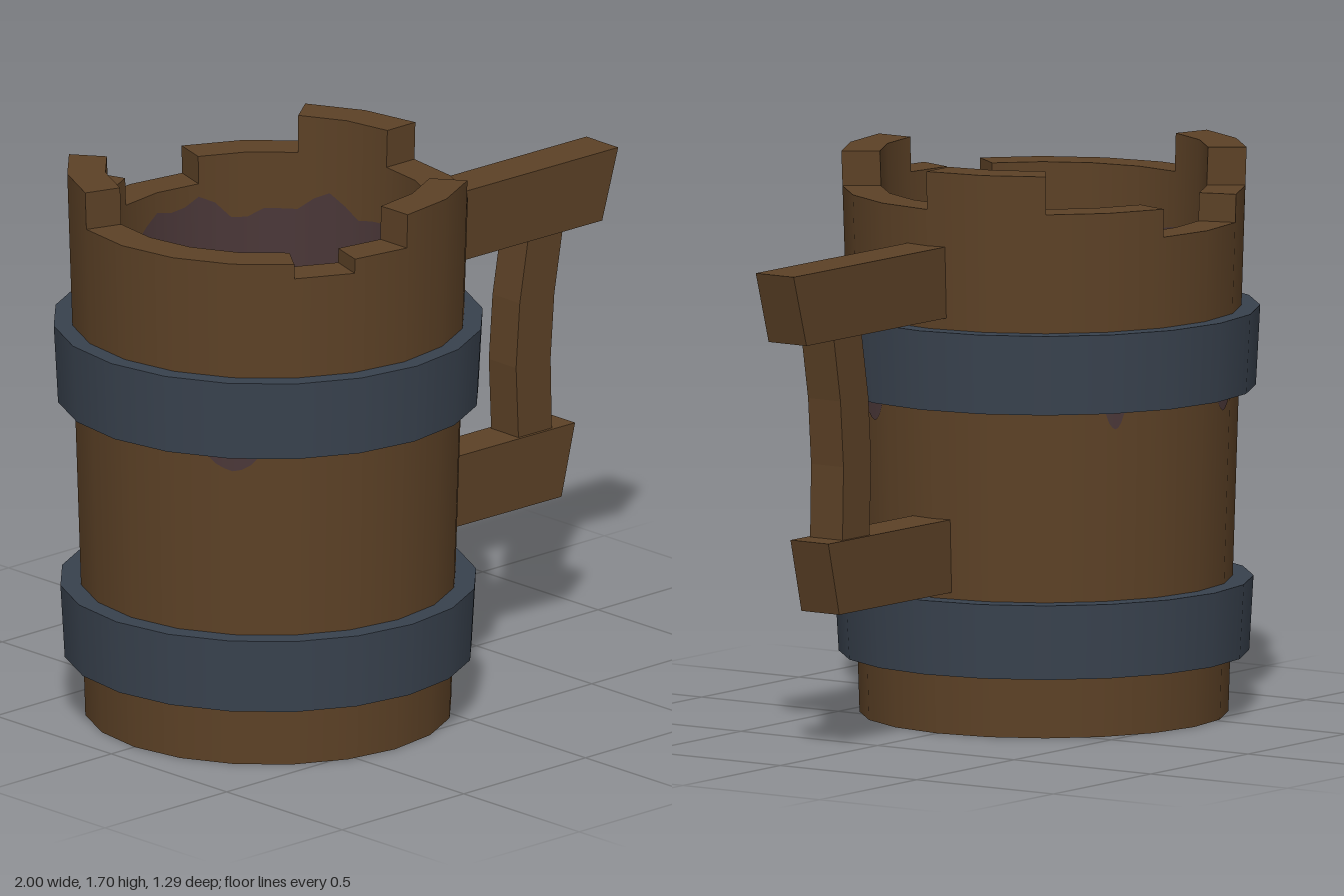
import * as THREE from 'three';

const SIDES = 20, STEP = 360 / SIDES, CENTRE_X = -0.355;
const outer = (y) => 0.55 + 0.032 * y;
const inner = (y) => 0.435 + 0.032 * y;

// Point on a 20-sided ring; angles run from the front (+z) towards +x
function ringPoint(deg, r, y) {
  const local = (((deg % STEP) + STEP) % STEP) - STEP / 2;
  const k = Math.cos(THREE.MathUtils.degToRad(STEP / 2)) / Math.cos(THREE.MathUtils.degToRad(local));
  const a = THREE.MathUtils.degToRad(deg);
  return new THREE.Vector3(Math.sin(a) * r * k, y, Math.cos(a) * r * k);
}

// Collects quads; smooth = 1 gives outward round normals, -1 inward, 0 flat
class Surface {
  constructor() { this.pos = []; this.nor = []; }
  quad(a, b, c, d, smooth = 0) {
    const flat = b.clone().sub(a).cross(c.clone().sub(a)).normalize();
    for (const p of [a, b, c, a, c, d]) {
      const n = smooth ? new THREE.Vector3(p.x, 0, p.z).normalize().multiplyScalar(smooth) : flat;
      this.pos.push(p.x, p.y, p.z);
      this.nor.push(n.x, n.y, n.z);
    }
  }
  mesh(name, material) {
    const g = new THREE.BufferGeometry();
    g.setAttribute('position', new THREE.Float32BufferAttribute(this.pos, 3));
    g.setAttribute('normal', new THREE.Float32BufferAttribute(this.nor, 3));
    const m = new THREE.Mesh(g, material);
    m.name = name;
    return m;
  }
}

function flatMaterial(name, color) {
  const m = new THREE.MeshStandardMaterial({ color });
  m.name = name;
  return m;
}

// Horizontal many-sided disc facing up or down
function disc(name, r, y, material, up) {
  const m = new THREE.Mesh(new THREE.CircleGeometry(r, SIDES), material);
  m.rotation.x = up ? -Math.PI / 2 : Math.PI / 2;
  m.position.y = y;
  m.name = name;
  return m;
}

export function createModel() {
  const wood = flatMaterial('wood', 0x5c4126);
  const metal = flatMaterial('metal', 0x38414d);
  const stain = flatMaterial('stain', 0x4a3738);
  const liquid = flatMaterial('liquid', 0x3a2552);

  const model = new THREE.Group();
  model.name = 'tankard';
  const body = new THREE.Group();
  body.name = 'body';
  body.position.x = CENTRE_X;
  model.add(body);

  // Stave heights: raised and broken sections around the rim
  const heights = new Array(SIDES).fill(1.585);
  for (const i of [0, 1]) heights[i] = 1.69;
  for (const i of [5, 6, 12, 13]) heights[i] = 1.7;
  for (const i of [9, 10]) heights[i] = 1.5;
  heights[18] = 1.54;

  const LIQUID_Y = 0.3, SUB = 3;
  const stainTop = (deg) => {
    const a = THREE.MathUtils.degToRad(deg);
    return 1.42 + 0.03 * Math.sin(7 * a) + 0.02 * Math.sin(16 * a + 1);
  };
  const staves = new Surface(), soak = new Surface();
  heights.forEach((h, i) => {
    const a0 = i * STEP, a1 = a0 + STEP, prev = heights[(i + SIDES - 1) % SIDES];
    const out = (a, y) => ringPoint(a, outer(y), y);
    const inn = (a, y) => ringPoint(a, inner(y), y);
    staves.quad(out(a0, 0), out(a1, 0), out(a1, h), out(a0, h), 1);
    staves.quad(out(a0, h), out(a1, h), inn(a1, h), inn(a0, h));
    if (h !== prev) staves.quad(inn(a0, prev), out(a0, prev), out(a0, h), inn(a0, h));
    // Inner wall: bare wood above, wet stain with an uneven edge below
    for (let j = 0; j < SUB; j++) {
      const b0 = a0 + (j * STEP) / SUB, b1 = b0 + STEP / SUB;
      const s0 = stainTop(b0), s1 = stainTop(b1);
      staves.quad(inn(b1, s1), inn(b0, s0), inn(b0, h), inn(b1, h), -1);
      soak.quad(inn(b1, LIQUID_Y), inn(b0, LIQUID_Y), inn(b0, s0), inn(b1, s1), -1);
    }
  });
  body.add(staves.mesh('staves', wood), soak.mesh('innerStain', stain));
  body.add(disc('base', outer(0), 0, wood, false));
  body.add(disc('liquidSurface', inner(LIQUID_Y), LIQUID_Y, liquid, true));

  // Metal hoops with a wooden ledge showing underneath
  const addHoop = (name, y0, y1, r0, r1) => {
    const hoop = new Surface(), ledge = new Surface();
    for (let i = 0; i < SIDES; i++) {
      const p = (k, r, y) => ringPoint((i + k) * STEP, r, y);
      const lip = r0 - 0.012;
      hoop.quad(p(0, r0, y0), p(1, r0, y0), p(1, r1, y1), p(0, r1, y1), 1);
      hoop.quad(p(0, r1, y1), p(1, r1, y1), p(1, outer(y1) - 0.01, y1), p(0, outer(y1) - 0.01, y1));
      hoop.quad(p(1, r0, y0), p(0, r0, y0), p(0, lip, y0), p(1, lip, y0));
      ledge.quad(p(1, lip, y0), p(0, lip, y0), p(0, outer(y0) - 0.01, y0), p(1, outer(y0) - 0.01, y0));
    }
    body.add(hoop.mesh(name, metal), ledge.mesh(name + 'Ledge', wood));
  };
  addHoop('upperHoop', 0.985, 1.225, 0.632, 0.645);
  addHoop('lowerHoop', 0.185, 0.41, 0.612, 0.625);

  // Drip stains below the upper hoop: [centre angle, half width, lowest y]
  const drips = new Surface();
  for (const [mid, half, low] of [[-54, 8, 0.935], [64, 5, 0.925], [147, 3, 0.935], [-167, 4, 0.945], [-133, 7, 0.93]]) {
    const n = 6;
    const edge = (t) => low + 0.04 * Math.pow(Math.abs(2 * t - 1), 4) + 0.006 * Math.sin(9 * t);
    const p = (t, y) => ringPoint(mid + half * (2 * t - 1), outer(y) + 0.003, y);
    for (let j = 0; j < n; j++) {
      const t0 = j / n, t1 = (j + 1) / n;
      drips.quad(p(t0, edge(t0)), p(t1, edge(t1)), p(t1, 0.99), p(t0, 0.99), 1);
    }
  }
  body.add(drips.mesh('dripStains', stain));

  // Handle: two slanted-end beams joined by a curved grip
  const handle = new THREE.Group();
  handle.name = 'handle';
  handle.position.z = 0.01;
  handle.rotation.y = -0.014;
  model.add(handle);
  const addBeam = (name, depth, points) => {
    const shape = new THREE.Shape(points.map(([x, y]) => new THREE.Vector2(x, y)));
    const g = new THREE.ExtrudeGeometry(shape, { depth, bevelEnabled: false });
    g.translate(0, 0, -depth / 2);
    const m = new THREE.Mesh(g, wood);
    m.name = name;
    handle.add(m);
  };
  addBeam('upperBeam', 0.14, [[0.18, 1.26], [0.93, 1.26], [0.995, 1.475], [0.18, 1.475]]);
  addBeam('lowerBeam', 0.14, [[0.15, 0.43], [0.765, 0.43], [0.82, 0.65], [0.15, 0.65]]);
  addBeam('grip', 0.12, [
    [0.6, 0.64], [0.735, 0.64], [0.73, 0.87], [0.745, 1.07], [0.78, 1.27],
    [0.64, 1.27], [0.605, 1.07], [0.59, 0.87],
  ]);

  return model;
}
